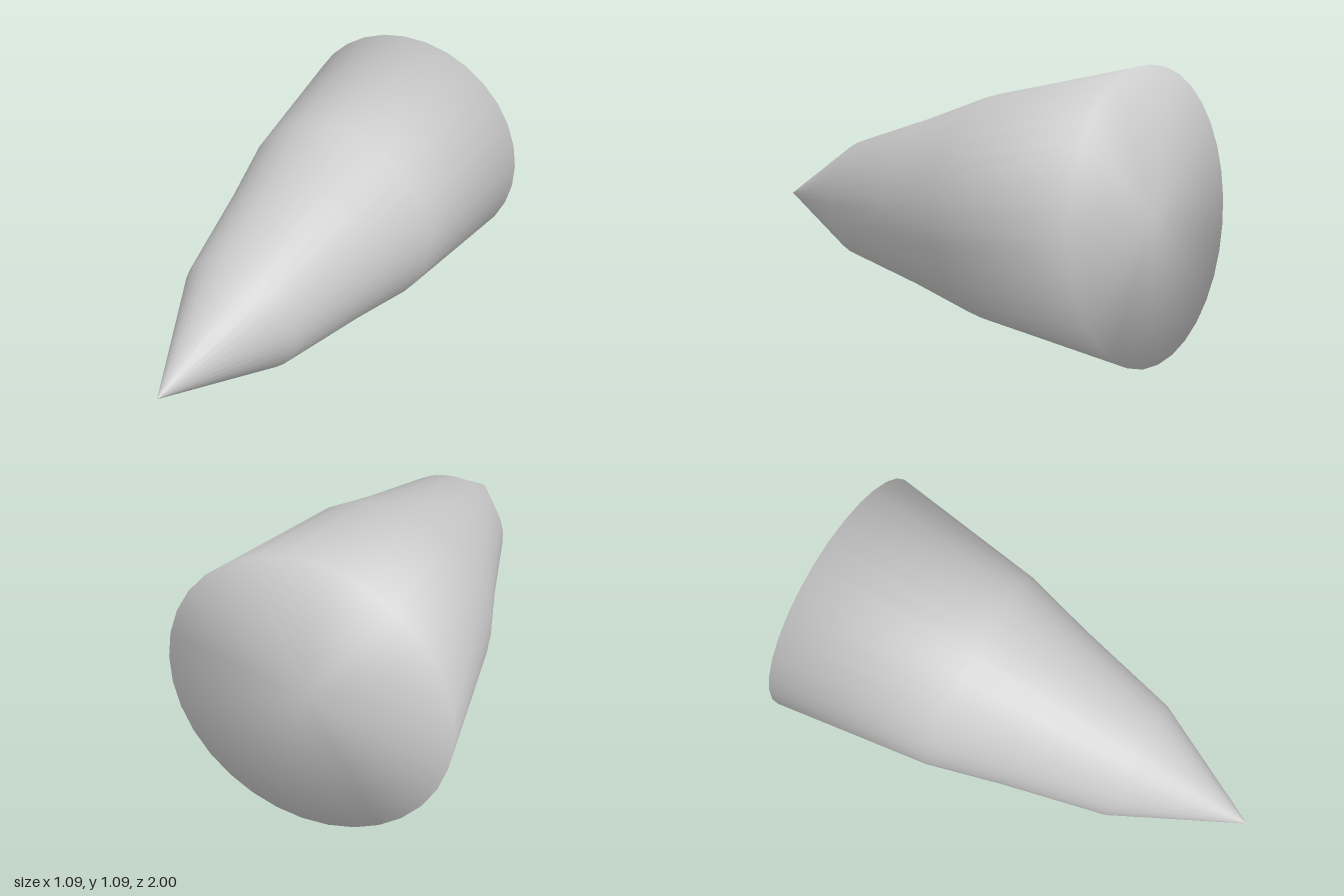
import * as THREE from 'three';

export function createModel() {
  const group = new THREE.Group();

  // Half outline: closed flat base, gently tapering body, pointed tip
  const profile = [
    [0, 0], [0.547, 0], [0.452, 0.678], [0.367, 0.99], [0.261, 1.432], [0, 1.955],
  ].map(([r, h]) => new THREE.Vector2(r, h));

  const body = new THREE.Mesh(
    new THREE.LatheGeometry(profile, 32),
    new THREE.MeshStandardMaterial({ color: 0xcccccc, side: THREE.DoubleSide })
  );
  body.name = 'taperedBody';

  // Lay the axis from the base centre to the tip, drooping slightly forward
  const base = new THREE.Vector3(0, 0.545, -0.945);
  const tip = new THREE.Vector3(-0.06, 0.36, 1);
  body.position.copy(base);
  body.quaternion.setFromUnitVectors(
    new THREE.Vector3(0, 1, 0),
    tip.clone().sub(base).normalize()
  );

  group.add(body);
  return group;
}
